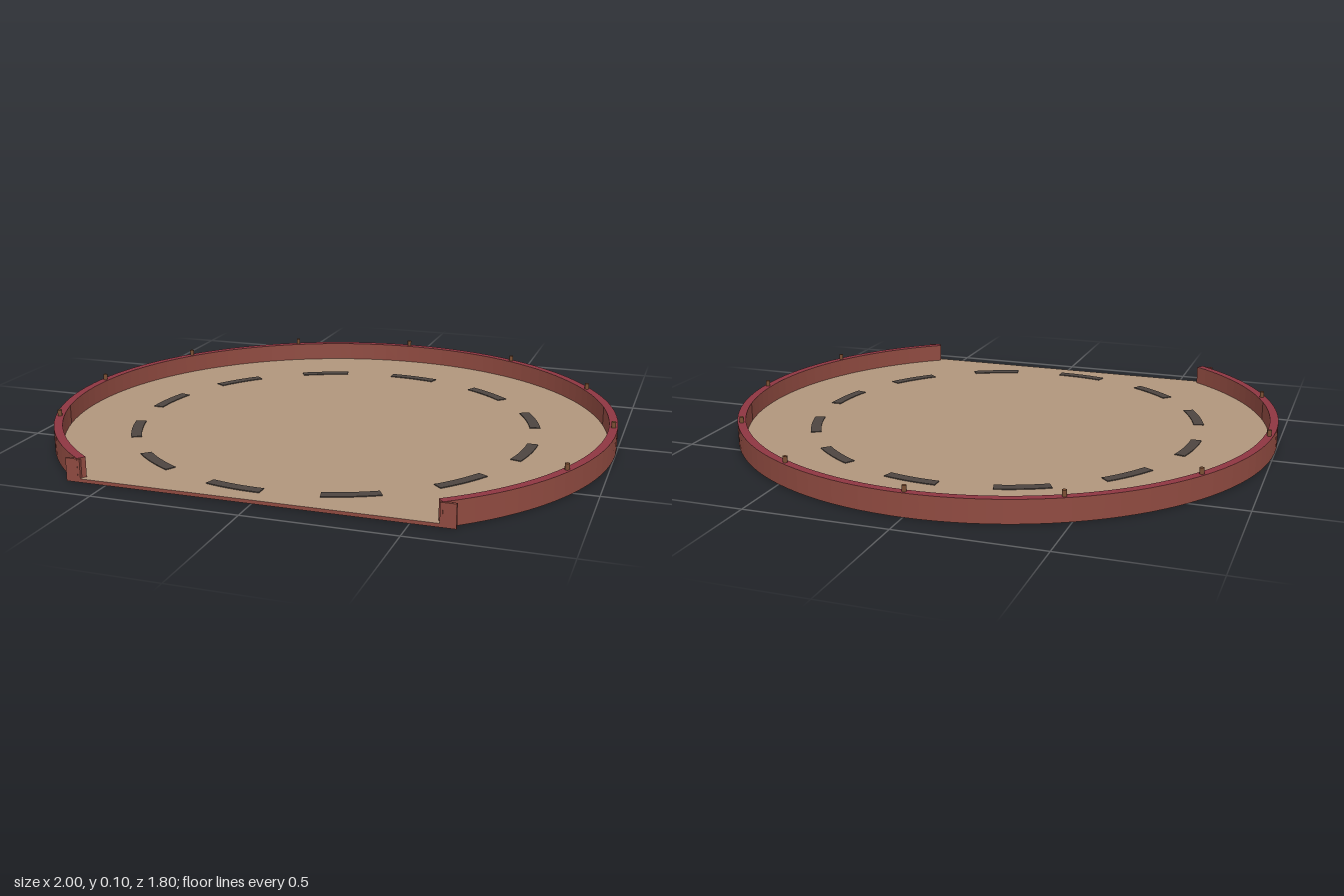
import * as THREE from 'three';

const mat = (name, color) => {
  const m = new THREE.MeshStandardMaterial({ color });
  m.name = name;
  return m;
};

const CENTER_Z = 0.1; // centre of the round floor
const OPEN = 2.5;     // angle from the back where the wall stops, in radians
const FLOOR = 0.012;
const WALL = 0.08;

// Points along an arc, measured from the back towards +x
function arc(r, from, to, steps) {
  return Array.from({ length: steps + 1 }, (_, i) => {
    const t = from + (to - from) * i / steps;
    return new THREE.Vector2(r * Math.sin(t), r * Math.cos(t));
  });
}

// Flat outline raised from y0 to y1
function slab(name, points, y0, y1, materials) {
  const geo = new THREE.ExtrudeGeometry(new THREE.Shape(points), { depth: y1 - y0, bevelEnabled: false });
  geo.rotateX(-Math.PI / 2);
  const mesh = new THREE.Mesh(geo, materials);
  mesh.name = name;
  mesh.position.set(0, y0, CENTER_Z);
  return mesh;
}

const band = (r0, r1, from, to, steps) =>
  [...arc(r1, from, to, steps), ...arc(r0, from, to, steps).reverse()];

export function createModel() {
  const sand = mat('sand', 0xb0957c);
  const brick = mat('brick', 0x8f4a40);
  const crimson = mat('crimson', 0x8e3642);
  const charcoal = mat('charcoal', 0x4d4540);
  const bronze = mat('bronze', 0x7d5034);

  const group = new THREE.Group();
  group.name = 'arena';

  // Round floor with a straight front edge
  group.add(slab('floor', arc(1, -OPEN, OPEN, 96), 0, FLOOR, [sand, brick]));

  // Surrounding wall with a coloured top
  group.add(slab('wall', band(0.97, 1, -OPEN, OPEN, 96), FLOOR, WALL, [crimson, brick]));

  // Ring of painted dashes
  for (let i = 0; i < 12; i++) {
    const a = i * Math.PI / 6;
    group.add(slab('floorDash', band(0.7, 0.738, a, a + Math.PI / 12, 6), FLOOR, FLOOR + 0.003, charcoal));
  }

  // Small posts spaced along the wall
  const postGeo = new THREE.CylinderGeometry(0.008, 0.008, 0.022, 8);
  for (let i = -4; i <= 4; i++) {
    const post = new THREE.Mesh(postGeo, bronze);
    post.name = 'wallPost';
    post.position.set(0.985 * Math.sin(i * 0.5), WALL + 0.01, CENTER_Z - 0.985 * Math.cos(i * 0.5));
    group.add(post);
  }

  // End plates either side of the opening
  for (const side of [-1, 1]) {
    const plate = new THREE.Mesh(new THREE.BoxGeometry(0.05, 0.078, 0.01), brick);
    plate.name = side > 0 ? 'leftEndPlate' : 'rightEndPlate';
    plate.position.set(side * 0.615, 0.039, 0.896);
    group.add(plate);
  }
  return group;
}
